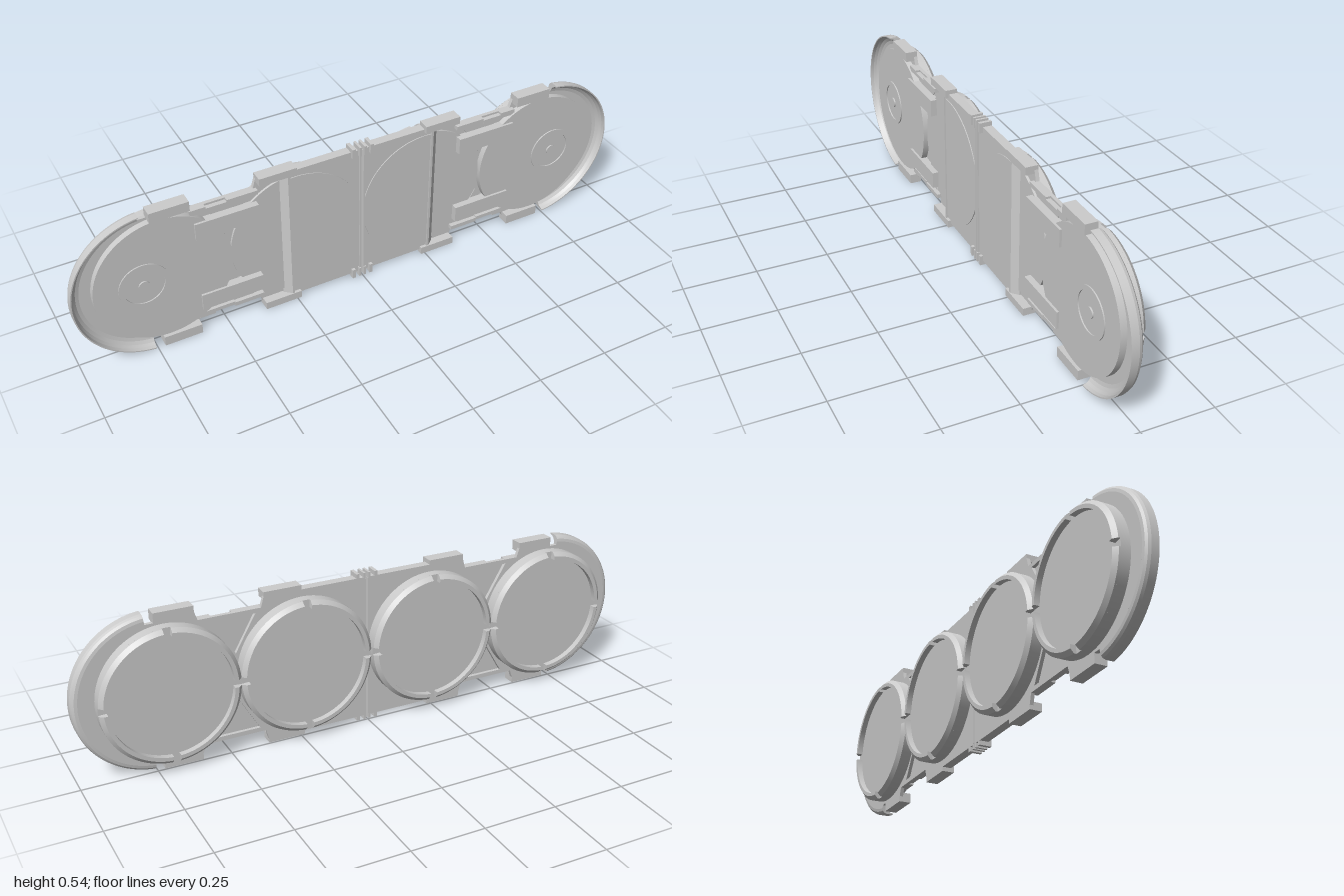
import * as THREE from 'three';

const CY = 0.27; // height of the centre line
const CUP_R = 0.231;
const MID_X = 0.235;
const END_X = 0.697;
const material = new THREE.MeshStandardMaterial({ color: 0xcccccc, side: THREE.DoubleSide });

function add(group, name, geometry) {
  const mesh = new THREE.Mesh(geometry, material);
  mesh.name = name;
  group.add(mesh);
}

// box given by its limits
function box(group, name, x0, x1, y0, y1, z0, z1) {
  const g = new THREE.BoxGeometry(x1 - x0, y1 - y0, z1 - z0);
  g.translate((x0 + x1) / 2, (y0 + y1) / 2, (z0 + z1) / 2);
  add(group, name, g);
}

// the same box above and below the centre line
function boxPair(group, name, x0, x1, y0, y1, z0, z1) {
  box(group, name + 'Upper', x0, x1, y0, y1, z0, z1);
  box(group, name + 'Lower', x0, x1, -y1, -y0, z0, z1);
}

function slab(group, name, shape, z0, z1) {
  const g = new THREE.ExtrudeGeometry(shape, { depth: z1 - z0, bevelEnabled: false, curveSegments: 48 });
  add(group, name, g.translate(0, 0, z0));
}

function disc(group, name, x, radius, z0, z1, segments) {
  const g = new THREE.CylinderGeometry(radius, radius, z1 - z0, segments);
  add(group, name, g.rotateX(Math.PI / 2).translate(x, 0, (z0 + z1) / 2));
}

const points = list => list.map(p => new THREE.Vector2(...p));

// closed [radius, z] profile swept about a z axis at x = cx, with capped ends and creased edges
function sweep(group, name, profile, cx, start, length, segments) {
  const part = new THREE.Group();
  part.name = name;
  profile.forEach((p, i) => {
    const q = profile[(i + 1) % profile.length];
    const g = new THREE.LatheGeometry(points([p, q]), segments, start, length);
    add(part, name + 'Face', g.rotateX(Math.PI / 2));
  });
  if (length < Math.PI * 2 - 0.001) {
    for (const phi of [start, start + length]) {
      const cap = new THREE.ShapeGeometry(new THREE.Shape(points(profile)));
      add(part, name + 'Cap', cap.rotateY(phi - Math.PI / 2).rotateX(Math.PI / 2));
    }
  }
  part.position.x = cx;
  group.add(part);
}

// floor outline of one half, with stepped sides and a round end
function outline() {
  const s = new THREE.Shape();
  const side = [[0.006, 0.255], [0.365, 0.255], [0.375, 0.22], [0.585, 0.22], [0.595, 0.25],
    [0.725, 0.25], [0.725, 0.238], [0.755, 0.238]];
  s.moveTo(0.006, -0.255);
  side.forEach(([x, y]) => s.lineTo(x, -y));
  s.absarc(0.73, 0, 0.25, -1.47, 1.47, false);
  [...side].reverse().forEach(([x, y]) => s.lineTo(x, y));
  s.closePath();
  return s;
}

// round cup on the back with a chamfered rim cut by four notches
function backCup(group, cx) {
  disc(group, 'cupBase', cx, CUP_R, -0.027, 0.005, 72);
  const rim = [[0.205, -0.027], [CUP_R, -0.027], [CUP_R, -0.034], [CUP_R - 0.013, -0.047], [0.205, -0.047]];
  const gap = 0.058;
  for (let i = 0; i < 4; i++) {
    sweep(group, 'cupRim', rim, cx, i * Math.PI / 2 + gap, Math.PI / 2 - 2 * gap, 20);
  }
}

function buildHalf() {
  const half = new THREE.Group();

  // floor, with pockets beside the cups closed by thin webs nearer the front
  const floor = outline();
  for (const s of [1, -1]) {
    const pocket = [[0.4665, 0.08 * s], [0.54, 0.205 * s], [0.395, 0.205 * s]];
    floor.holes.push(new THREE.Path(points(pocket)));
    slab(half, 'pocketWeb', new THREE.Shape(points(pocket)), 0.017, 0.02);
  }
  slab(half, 'floor', floor, 0.005, 0.018);

  // middle plate and the raised round of the inner cup, lower beyond the ridge
  box(half, 'middlePlate', 0.006, 0.262, -0.255, 0.255, 0.005, 0.037);
  const a = Math.acos((0.262 - MID_X) / CUP_R);
  const innerRound = new THREE.Shape();
  innerRound.absarc(MID_X, 0, CUP_R, a, Math.PI * 2 - a, false);
  innerRound.closePath();
  slab(half, 'innerRound', innerRound, 0.005, 0.04);
  disc(half, 'innerRoundStep', MID_X, CUP_R, 0.005, 0.026, 72);

  // raised round of the end cup with its ring and pin
  disc(half, 'endRound', END_X, CUP_R, 0.005, 0.04, 72);
  sweep(half, 'mountRing', [[0.068, 0.039], [0.083, 0.039], [0.083, 0.044], [0.068, 0.044]],
    0.765, 0, Math.PI * 2, 48);
  disc(half, 'mountPin', 0.765, 0.018, 0.039, 0.045, 24);

  // rounded wall of the end tray
  sweep(half, 'endWall', [
    [0.27, 0.048], [0.27, 0.022], [0.267, 0.013], [0.26, 0.007], [0.25, 0.005],
    [0.235, 0.005], [0.235, 0.018], [0.247, 0.021], [0.257, 0.028], [0.263, 0.037], [0.266, 0.048],
  ], 0.73, 0.095, Math.PI - 0.19, 60);

  // side tabs and waist walls
  boxPair(half, 'endTab', 0.595, 0.725, 0.235, 0.27, 0.005, 0.048);
  boxPair(half, 'middleTab', 0.235, 0.365, 0.243, 0.27, 0.005, 0.048);
  boxPair(half, 'waistWall', 0.365, 0.47, 0.205, 0.22, 0.005, 0.034);
  boxPair(half, 'waistDip', 0.47, 0.54, 0.2, 0.213, 0.018, 0.034);
  boxPair(half, 'waistEnd', 0.54, 0.595, 0.2, 0.22, 0.005, 0.034);

  // clip bars across the waist
  boxPair(half, 'clipBar', 0.37, 0.585, 0.115, 0.175, 0.018, 0.048);

  // cross ridge with a sloped outer side
  const ridge = new THREE.Shape(points(
    [[0.258, 0.013], [0.258, 0.045], [0.266, 0.045], [0.29, 0.024], [0.29, 0.013]]));
  const ridgeBar = new THREE.ExtrudeGeometry(ridge, { depth: 0.49, bevelEnabled: false });
  add(half, 'crossRidge', ridgeBar.rotateX(Math.PI / 2).translate(0, 0.245, 0));

  // centre joint and its fins
  box(half, 'centreWall', 0.004, 0.01, -0.25, 0.25, 0.005, 0.044);
  boxPair(half, 'innerFin', 0.005, 0.013, 0.235, 0.27, 0.005, 0.048);
  boxPair(half, 'outerFin', 0.027, 0.039, 0.235, 0.27, 0.005, 0.048);

  backCup(half, MID_X);
  backCup(half, END_X);
  return half;
}

export function createModel() {
  const model = new THREE.Group();
  model.name = 'foldingCupTray';
  // the half is symmetric about its centre line, so a half turn mirrors it
  for (const [name, turn] of [['leftHalf', 0], ['rightHalf', Math.PI]]) {
    const half = buildHalf();
    half.name = name;
    half.position.y = CY;
    half.rotation.z = turn;
    model.add(half);
  }
  return model;
}
